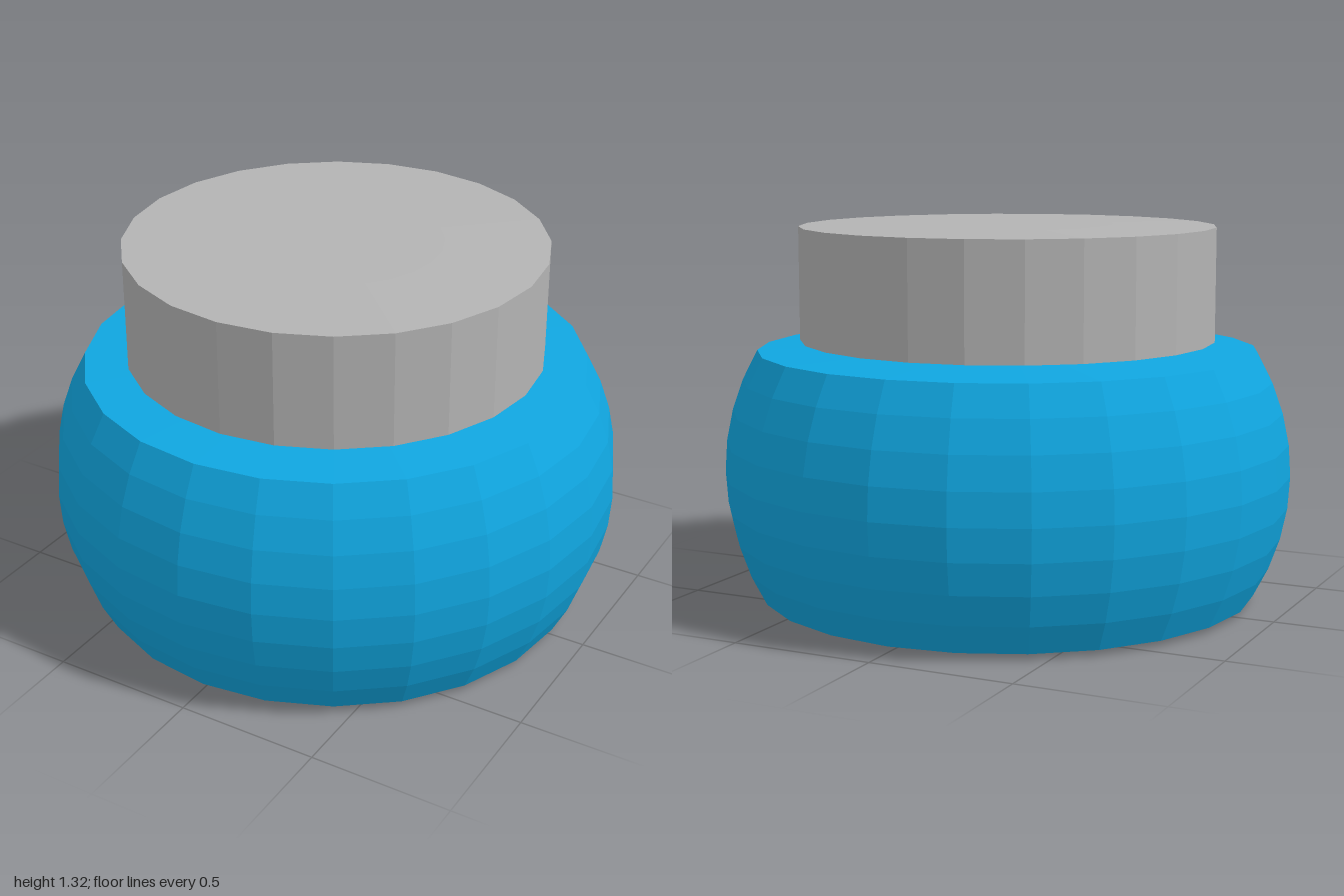
import * as THREE from 'three';

const SEGMENTS = 24;

// Faceted solid of revolution from [radius, height] pairs, bottom to top
function turned(name, profile, material) {
  const points = profile.map(([r, y]) => new THREE.Vector2(r, y));
  const mesh = new THREE.Mesh(new THREE.LatheGeometry(points, SEGMENTS), material);
  mesh.name = name;
  return mesh;
}

export function createModel() {
  const blue = new THREE.MeshStandardMaterial({ name: 'blue', color: 0x10a6e0, flatShading: true });
  const grey = new THREE.MeshStandardMaterial({ name: 'grey', color: 0xb3b3b3, flatShading: true });

  // Jar: bulging wall of eight bands closed by very shallow domes
  const wall = [];
  const bands = 8, middle = 0.453, halfHeight = 0.43;
  const maxAngle = Math.acos(0.88);
  for (let i = 0; i <= bands; i++) {
    const a = maxAngle * (2 * i / bands - 1);
    wall.push([Math.cos(a), middle + halfHeight * Math.sin(a) / Math.sin(maxAngle)]);
  }
  const jar = turned('jarBody', [
    [0, 0.003], [0.4, 0.005], ...wall, [0.4, 0.9], [0, 0.903],
  ], blue);

  // Lid: straight wall, shallow domed top and underside
  const lid = turned('lid', [
    [0, 0.908], [0.37, 0.911], [0.73, 0.918], [0.73, 1.315], [0.37, 1.321], [0, 1.324],
  ], grey);

  const model = new THREE.Group();
  model.name = 'lidded jar';
  model.add(jar, lid);
  return model;
}
